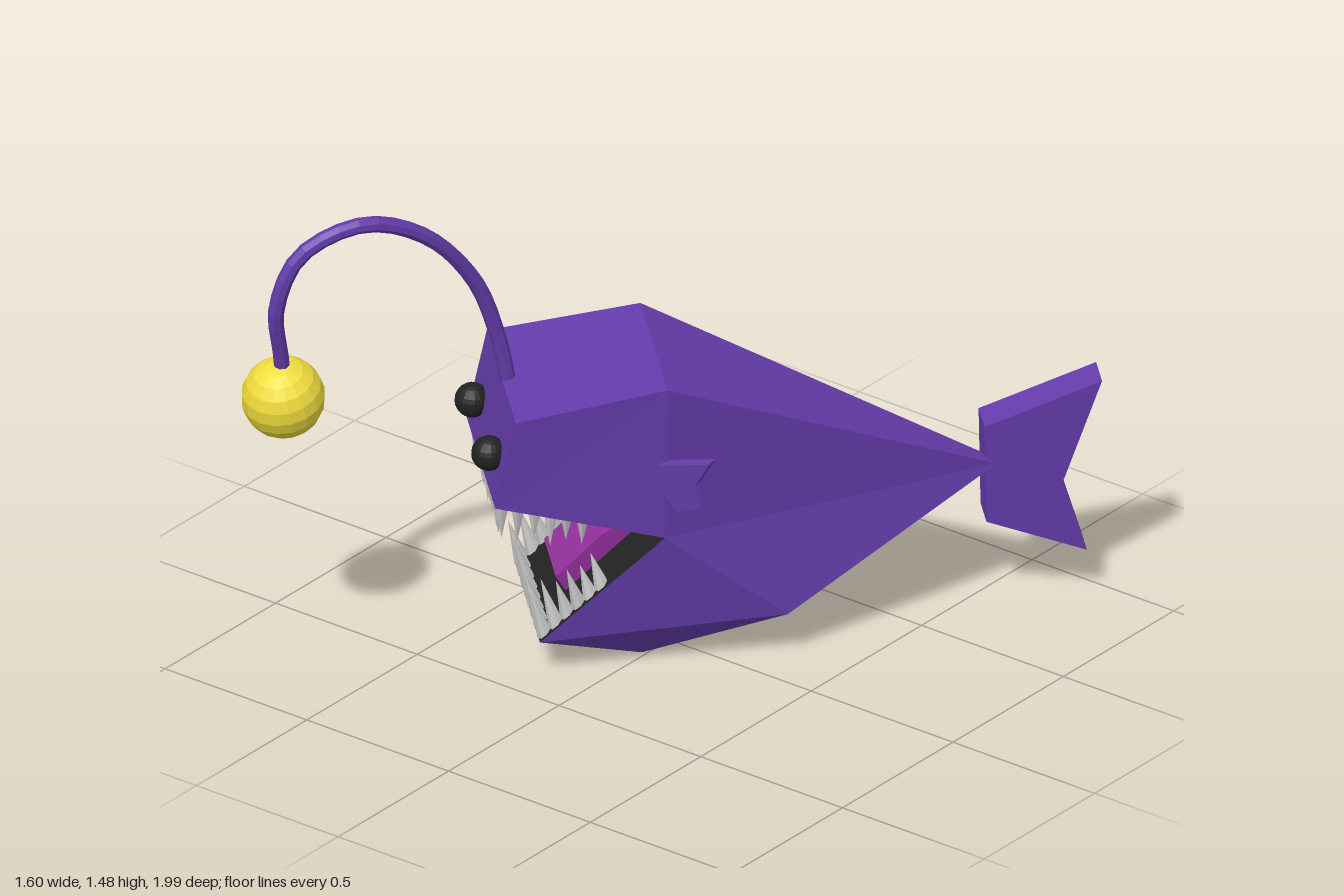
import * as THREE from 'three';

const paint = (color) => new THREE.MeshStandardMaterial({ color, flatShading: true });
const skin = paint(0x643cab);
const dark = paint(0x222222);
const tongueMat = paint(0x92309c);
const glow = paint(0xf0dc3c);
const grey = paint(0xcccccc);

function add(parent, name, geometry, material) {
  const mesh = new THREE.Mesh(geometry, material);
  mesh.name = name;
  parent.add(mesh);
  return mesh;
}

// Body corners on the left side: half width, height, depth
const P = {
  lipTop: [0.245, 0.87, 0.476],
  lip: [0.243, 0.593, 0.53],
  back: [0.23, 0.93, 0.046],
  mouth: [0.25, 0.457, 0.05],
  belly: [0.225, 0.158, -0.305],
  keel: [0.126, 0.006, 0.088],
  jaw: [0.22, 0.125, 0.393],
  tail: [0.015, 0.45, -0.93],
};
const corner = (key, side) => [P[key][0] * side - (key === 'tail' ? 0.025 : 0), P[key][1], P[key][2]];

// Mirrored side triangles plus strips that join the left and right corners
function shell(strips, sides) {
  const pos = [];
  const tri = (...points) => points.forEach((p) => pos.push(...p));
  for (const [a, b, c] of sides) {
    tri(corner(a, 1), corner(b, 1), corner(c, 1));
    tri(corner(c, -1), corner(b, -1), corner(a, -1));
  }
  for (const [p, q] of strips) {
    tri(corner(p, 1), corner(q, 1), corner(q, -1));
    tri(corner(p, 1), corner(q, -1), corner(p, -1));
  }
  const g = new THREE.BufferGeometry();
  g.setAttribute('position', new THREE.Float32BufferAttribute(pos, 3));
  g.computeVertexNormals();
  return g;
}

// Plate cut from a (forward, up) profile, thickness centred on x
function plate(profile, thickness) {
  const shape = new THREE.Shape(profile.map(([z, y]) => new THREE.Vector2(-z, y)));
  const g = new THREE.ExtrudeGeometry(shape, { depth: thickness, bevelEnabled: false });
  return g.translate(0, 0, -thickness / 2).rotateY(Math.PI / 2);
}

// One tooth: a cone standing on its base, pointing up or down
function tooth(parent, name, base, length, radius, lean, tilt, dir) {
  const g = new THREE.ConeGeometry(radius, length, 7).translate(0, length / 2 - 0.01, 0);
  const mesh = add(parent, name, g, grey);
  mesh.position.copy(base);
  mesh.rotation.set(dir > 0 ? lean : Math.PI + lean, 0, tilt);
}

// Teeth across the front lip and part of the way along both sides
function teethRow(parent, name, lipKey, count, sideCount, length, radius, lean, dir, reach) {
  const row = new THREE.Group();
  row.name = name;
  parent.add(row);
  const front = new THREE.Vector3(...P[lipKey]);
  const rear = new THREE.Vector3(...P.mouth);
  front.x -= 0.03;
  rear.x -= 0.03;
  const start = front.clone().lerp(rear, 0.05);
  for (let i = 0; i < count; i++) {
    const x = start.x * (1 - (2 * i) / (count - 1));
    const len = length * (0.9 + 0.14 * ((i * 3) % 4) / 3);
    tooth(row, 'frontTooth', new THREE.Vector3(x, start.y, start.z), len, radius, lean, 0.08 * Math.sin(i * 2.3), dir);
  }
  for (const side of [-1, 1]) {
    for (let i = 1; i <= sideCount; i++) {
      const base = start.clone().lerp(rear, (reach * i) / sideCount);
      base.x *= side;
      const len = length * (1 - 0.3 * i / sideCount) * (i % 2 ? 1.05 : 0.9);
      tooth(row, 'sideTooth', base, len, radius, lean, 0.08 * Math.sin(i * 1.7), dir);
    }
  }
}

export function createModel() {
  const model = new THREE.Group();
  model.name = 'anglerFish';

  // The fish is turned and slightly rolled
  const fish = new THREE.Group();
  fish.name = 'fish';
  fish.rotation.set(0, -0.742, -0.085);
  fish.position.set(-0.048, 0.006, -0.044);
  model.add(fish);

  // Faceted body and the dark mouth lining
  add(fish, 'body', shell(
    [['lip', 'lipTop'], ['lipTop', 'back'], ['back', 'tail'], ['tail', 'belly'], ['belly', 'keel'], ['keel', 'jaw']],
    [['lipTop', 'lip', 'back'], ['lip', 'mouth', 'back'], ['back', 'mouth', 'tail'],
      ['mouth', 'belly', 'tail'], ['mouth', 'jaw', 'belly'], ['jaw', 'keel', 'belly']],
  ), skin);
  add(fish, 'mouthLining', shell([['jaw', 'mouth'], ['mouth', 'lip']], []), dark);

  // Tongue
  add(fish, 'tongue', plate([[0.07, 0.43], [0.3, 0.21], [0.33, 0.26], [0.2, 0.39], [0.06, 0.465]], 0.2), tongueMat);

  // Teeth
  teethRow(fish, 'upperTeeth', 'lip', 10, 5, 0.135, 0.021, 0, -1, 0.5);
  teethRow(fish, 'lowerTeeth', 'jaw', 8, 5, 0.16, 0.024, 0.3, 1, 0.48);

  // Eyes and side fins
  for (const side of [-1, 1]) {
    const name = side > 0 ? 'left' : 'right';
    add(fish, name + 'Eye', new THREE.SphereGeometry(0.05, 16, 12), dark).position.set(0.14 * side, 0.712, 0.532);
    const fin = add(fish, name + 'SideFin', plate(
      [[0.02, 0.035], [-0.15, 0.095], [-0.105, 0.01], [-0.13, -0.055], [-0.05, -0.095], [0.02, -0.03]], 0.035), skin);
    fin.position.set(0.245 * side, 0.66, 0.05);
    fin.rotation.y = -0.7 * side;
  }

  // Forked tail fin
  add(fish, 'tailFin', plate(
    [[-0.895, 0.568], [-1.225, 0.69], [-1.12, 0.37], [-1.19, 0.137], [-0.905, 0.255]], 0.1), skin).position.x = -0.068;

  // Curved stalk with the lure at its end
  const stalk = new THREE.CatmullRomCurve3([
    [-0.298, 0.83, 0.34], [-0.315, 1.0, 0.37], [-0.345, 1.2, 0.44], [-0.4, 1.39, 0.6], [-0.485, 1.465, 0.77],
    [-0.595, 1.39, 0.905], [-0.645, 1.23, 0.95], [-0.665, 1.05, 0.905], [-0.672, 0.95, 0.885],
  ].map((p) => new THREE.Vector3(...p)));
  add(model, 'lureStalk', new THREE.TubeGeometry(stalk, 28, 0.023, 8), skin);
  const lure = add(model, 'lure', new THREE.SphereGeometry(0.118, 16, 10), glow);
  lure.position.set(-0.677, 0.91, 0.88);
  lure.rotation.set(0.25, -0.742, -0.085);

  return model;
}
